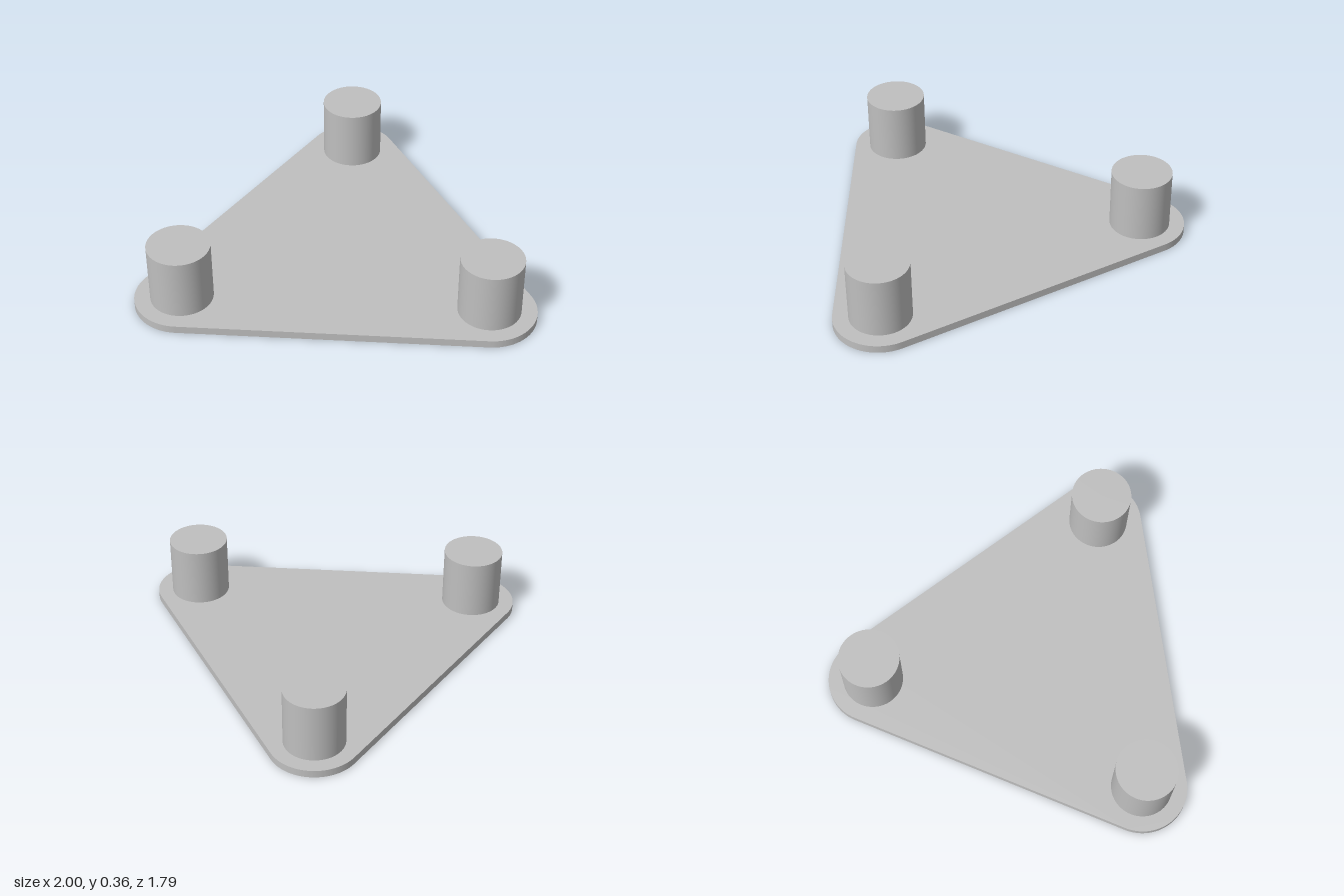
import * as THREE from 'three';
import { toCreasedNormals } from 'three/addons/utils/BufferGeometryUtils.js';

const PLATE = 0.04, TOP = 0.358, CORNER_R = 0.237, PEG_R = 0.158;

// Corner centres (x, z), counter-clockwise seen from above
const corners = [[0.763, 0.66], [0, -0.66], [-0.763, 0.66]];

export function createModel() {
  const group = new THREE.Group();
  const grey = new THREE.MeshStandardMaterial({ color: 0xbfbfbf });
  grey.name = 'grey';

  // Triangular base plate with rounded corners
  const outline = new THREE.Shape();
  corners.forEach(([x, z], i) => {
    const start = -Math.PI / 2 + i * Math.PI * 2 / 3;
    outline.absarc(x, -z, CORNER_R, start, start + Math.PI * 2 / 3, false);
  });
  const plateGeometry = new THREE.ExtrudeGeometry(outline, {
    depth: PLATE, bevelEnabled: false, curveSegments: 32,
  });
  plateGeometry.rotateX(-Math.PI / 2);
  const plate = new THREE.Mesh(toCreasedNormals(plateGeometry, 0.5), grey);
  plate.name = 'basePlate';
  group.add(plate);

  // One round peg over each corner centre
  const pegGeometry = new THREE.CylinderGeometry(PEG_R, PEG_R, TOP - PLATE, 64);
  const names = ['leftPeg', 'backPeg', 'rightPeg'];
  corners.forEach(([x, z], i) => {
    const peg = new THREE.Mesh(pegGeometry, grey);
    peg.name = names[i];
    peg.position.set(x, (TOP + PLATE) / 2, z);
    group.add(peg);
  });

  return group;
}
